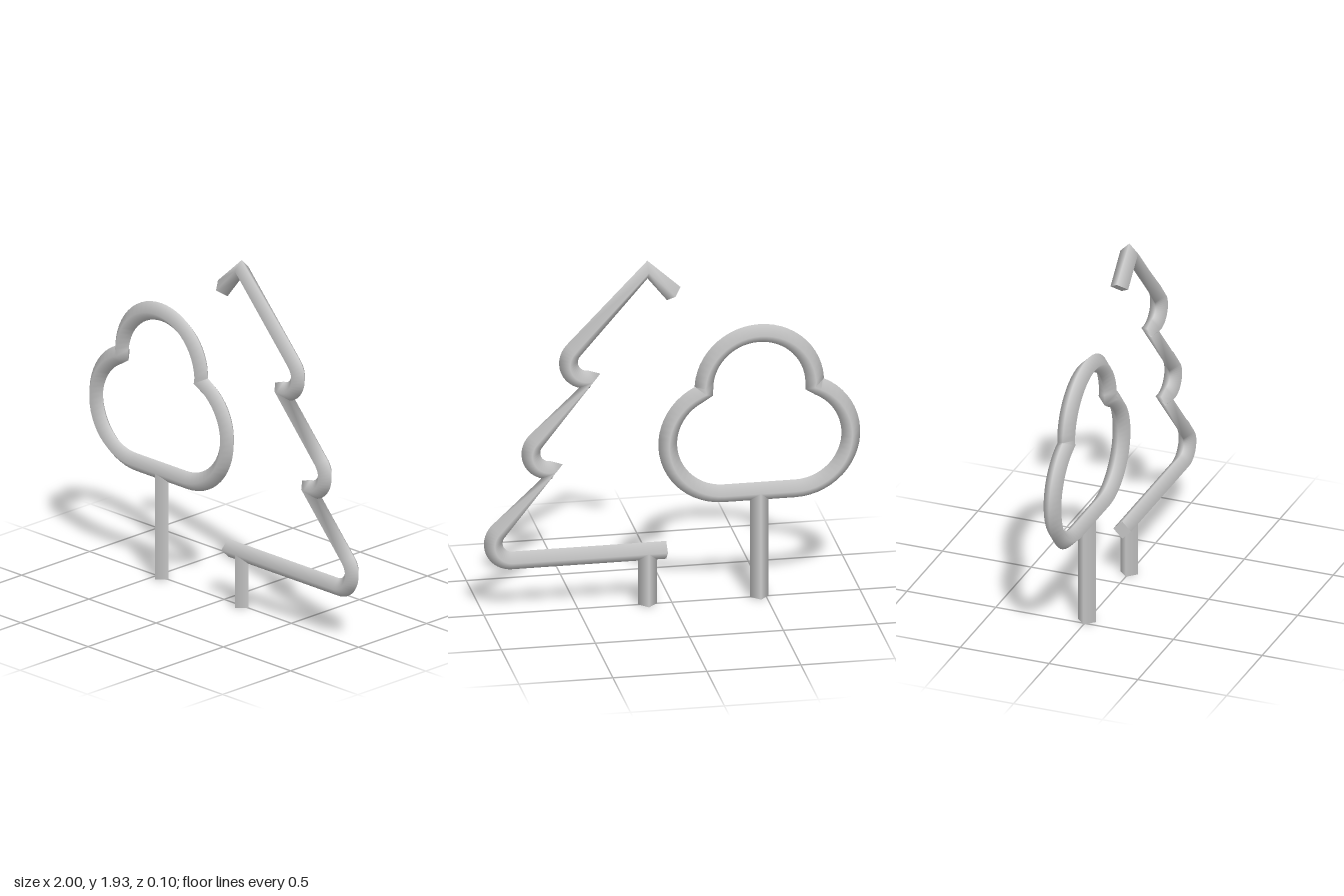
import * as THREE from 'three';

const R = 0.05; // half width of the diamond bar
const rad = Math.PI / 180;
const V = (x, y) => new THREE.Vector2(x, y);

// Points on an arc, angles in degrees
function arc(cx, cy, r, from, to, n) {
  return Array.from({ length: n + 1 }, (_, i) => {
    const a = (from + (to - from) * i / n) * rad;
    return V(cx + r * Math.cos(a), cy + r * Math.sin(a));
  });
}

// Sweep a four-sided diamond bar along a flat path, smooth along its length
function bar(name, pts, material, closed = false) {
  const n = pts.length, pos = [], nor = [], idx = [];
  const rings = pts.map((p, i) => {
    const prev = closed || i > 0 ? pts[(i - 1 + n) % n] : null;
    const next = closed || i < n - 1 ? pts[(i + 1) % n] : null;
    const t = V(0, 0);
    if (prev) t.add(p.clone().sub(prev).normalize());
    if (next) t.add(next.clone().sub(p).normalize());
    t.normalize();
    const side = new THREE.Vector3(-t.y, t.x, 0), z = new THREE.Vector3(0, 0, 1);
    const c = new THREE.Vector3(p.x, p.y, 0);
    const dirs = [side, z, side.clone().negate(), z.clone().negate()];
    const corners = dirs.map(d => c.clone().addScaledVector(d, R));
    dirs.forEach((d, j) => {
      pos.push(...corners[j].toArray());
      nor.push(...d.toArray());
    });
    return { t, corners };
  });
  for (let i = 0; i < (closed ? n : n - 1); i++) {
    const k = (i + 1) % n;
    for (let j = 0; j < 4; j++) {
      const m = (j + 1) % 4;
      const a = i * 4 + j, b = i * 4 + m, c = k * 4 + m, d = k * 4 + j;
      idx.push(a, b, c, a, c, d);
    }
  }
  // Flat end caps
  if (!closed) {
    for (const [ring, s] of [[rings[0], -1], [rings[n - 1], 1]]) {
      const o = pos.length / 3;
      for (const p of ring.corners) {
        pos.push(...p.toArray());
        nor.push(ring.t.x * s, ring.t.y * s, 0);
      }
      if (s > 0) idx.push(o, o + 1, o + 2, o, o + 2, o + 3);
      else idx.push(o, o + 2, o + 1, o, o + 3, o + 2);
    }
  }
  const g = new THREE.BufferGeometry();
  g.setAttribute('position', new THREE.Float32BufferAttribute(pos, 3));
  g.setAttribute('normal', new THREE.Float32BufferAttribute(nor, 3));
  g.setIndex(idx);
  const mesh = new THREE.Mesh(g, material);
  mesh.name = name;
  return mesh;
}

export function createModel() {
  const grey = new THREE.MeshStandardMaterial({ color: 0xcccccc });
  grey.name = 'light grey';
  const model = new THREE.Group();
  model.name = 'treesOutline';

  // Round tree: two side lobes and a top lobe in one closed loop
  const crown = [
    ...arc(-0.655, 0.89, 0.297, -90, -250.5, 24),
    ...arc(-0.465, 1.185, 0.295, 183, -3, 28).slice(1, -1),
    ...arc(-0.275, 0.89, 0.297, 70.5, -90, 24),
  ];
  const roundTree = new THREE.Group();
  roundTree.name = 'roundTree';
  roundTree.add(
    bar('roundTreeCrown', crown, grey, true),
    bar('roundTreeTrunk', [V(-0.465, 0), V(-0.465, 0.593)], grey),
  );

  // Fir tree: half outline with three rounded branch tips
  const outline = [
    V(-0.01, 1.735), V(0.13, 1.88),
    ...arc(0.45, 1.385, 0.1, 42.7, -105, 16),
    ...arc(0.65, 0.89, 0.1, 42.3, -105, 16),
    ...arc(0.85, 0.397, 0.1, 42.3, -90, 16),
    V(0.03, 0.297),
  ];
  const firTree = new THREE.Group();
  firTree.name = 'firTree';
  firTree.add(
    bar('firTreeOutline', outline, grey),
    bar('firTreeTrunk', [V(0.13, 0), V(0.13, 0.297)], grey),
  );

  model.add(roundTree, firTree);
  return model;
}
